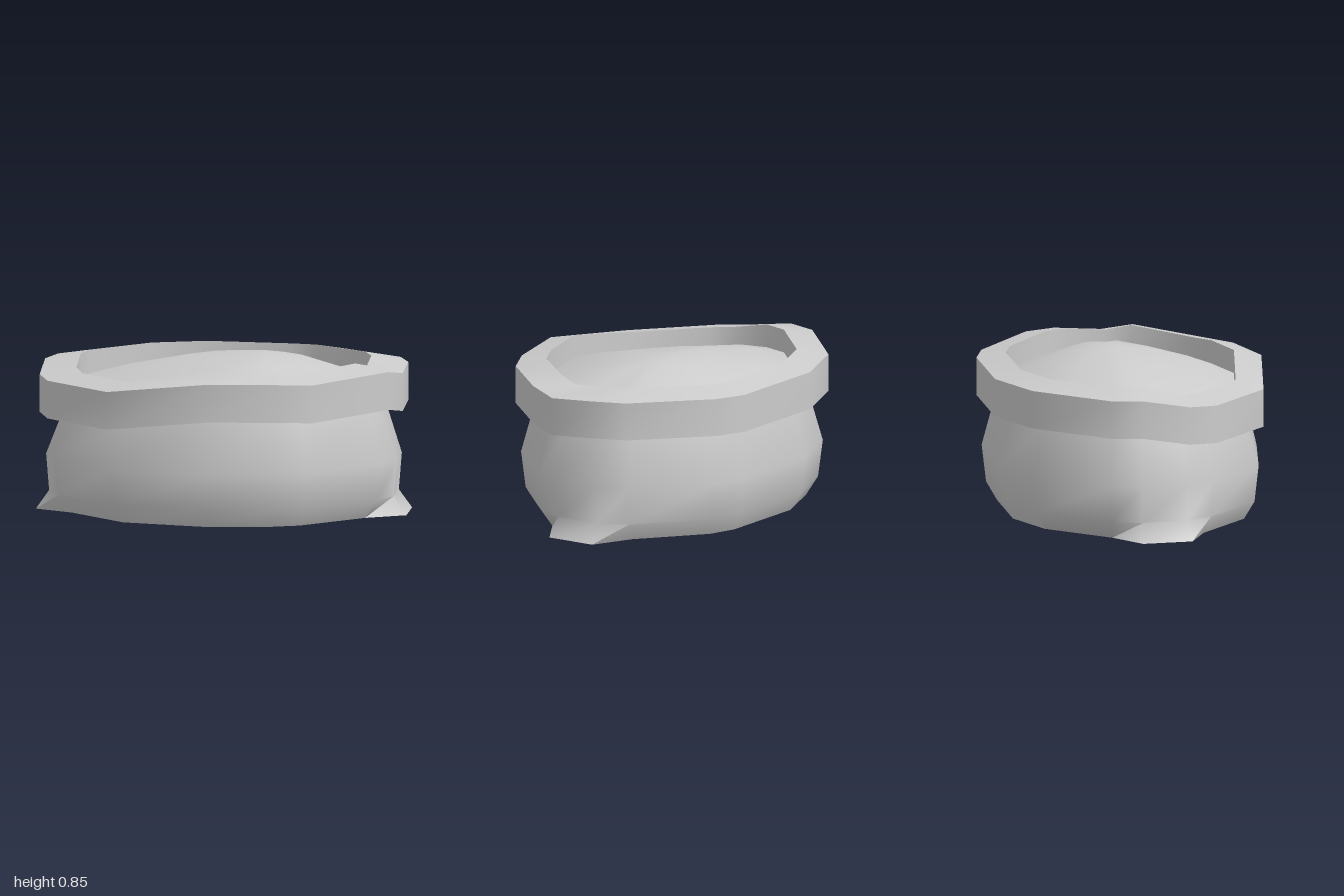
import * as THREE from 'three';
import { toCreasedNormals } from 'three/addons/utils/BufferGeometryUtils.js';

// Rim outline, counter-clockwise from above: x, z and height of the outer top edge
const OUTLINE = [
  [0, 0.76, 0.79], [0.38, 0.70, 0.785], [0.55, 0.63, 0.775], [0.92, 0.28, 0.80],
  [0.98, 0.12, 0.77], [0.98, -0.14, 0.79], [0.92, -0.31, 0.79], [0.55, -0.65, 0.78],
  [0.38, -0.72, 0.775], [-0.20, -0.765, 0.775], [-0.56, -0.65, 0.775], [-0.93, -0.31, 0.775],
  [-0.98, -0.14, 0.775], [-0.98, 0.12, 0.73], [-0.92, 0.28, 0.72], [-0.56, 0.63, 0.72],
];

// Skin a stack of rings; triangles that collapse at a pole are dropped
function loft(rings, crease) {
  const positions = [];
  const n = rings[0].length;
  const addTriangle = (a, b, c) => {
    const area = new THREE.Triangle(a, b, c).getArea();
    if (area > 1e-7) for (const p of [a, b, c]) positions.push(p.x, p.y, p.z);
  };
  for (let i = 0; i < rings.length - 1; i++) {
    for (let j = 0; j < n; j++) {
      const k = (j + 1) % n;
      const a = rings[i][j], b = rings[i][k], c = rings[i + 1][k], d = rings[i + 1][j];
      addTriangle(a, b, c);
      addTriangle(a, c, d);
    }
  }
  const geometry = new THREE.BufferGeometry();
  geometry.setAttribute('position', new THREE.Float32BufferAttribute(positions, 3));
  return toCreasedNormals(geometry, crease);
}

// Scaled copy of the outline; height is a rule of the rim height
const ring = (scale, height, cx = 0, cz = 0) => OUTLINE.map(([x, z, top]) =>
  new THREE.Vector3(x * scale + cx, height(top), z * scale + cz));

export function createModel() {
  const group = new THREE.Group();
  const material = new THREE.MeshStandardMaterial({ color: 0xcccccc, side: THREE.DoubleSide });
  const add = (name, geometry) => {
    const mesh = new THREE.Mesh(geometry, material);
    mesh.name = name;
    group.add(mesh);
  };

  // Sack body: flat base whose end corners flare into ears, bulging sides
  const base = ring(0.86, () => 0);
  const ankle = ring(0.935, () => 0.1);
  for (const j of [4, 5, 12, 13]) {
    base[j].x = Math.sign(base[j].x);
    base[j].z = OUTLINE[j][1] * 1.05;
    ankle[j].x = Math.sign(ankle[j].x) * 0.93;
  }
  add('sackBody', loft([
    ring(0, () => 0),
    base,
    ankle,
    ring(0.965, () => 0.3),
    ring(0.87, (top) => top - 0.19),
    ring(0.84, (top) => top - 0.1),
  ], 1.0));

  // Domed contents, with the peak off to one side
  add('contents', loft([
    ring(0.83, (top) => top - 0.1),
    ring(0.6, (top) => top * 0.7 + 0.205, 0.03, -0.01),
    ring(0.32, (top) => top * 0.3 + 0.585, 0.11, -0.03),
    ring(0.1, () => 0.843, 0.18, -0.05),
    ring(0, () => 0.846, 0.2, -0.06),
  ], 1.0));

  // Rolled-over rim: a wavy closed band with a raised inner edge
  const outerBottom = ring(1, (top) => top - 0.205);
  add('rolledRim', loft([
    outerBottom,
    ring(1, (top) => top),
    ring(0.8, (top) => top + 0.035),
    ring(0.8, (top) => top - 0.19),
    outerBottom,
  ], 0.6));

  return group;
}
